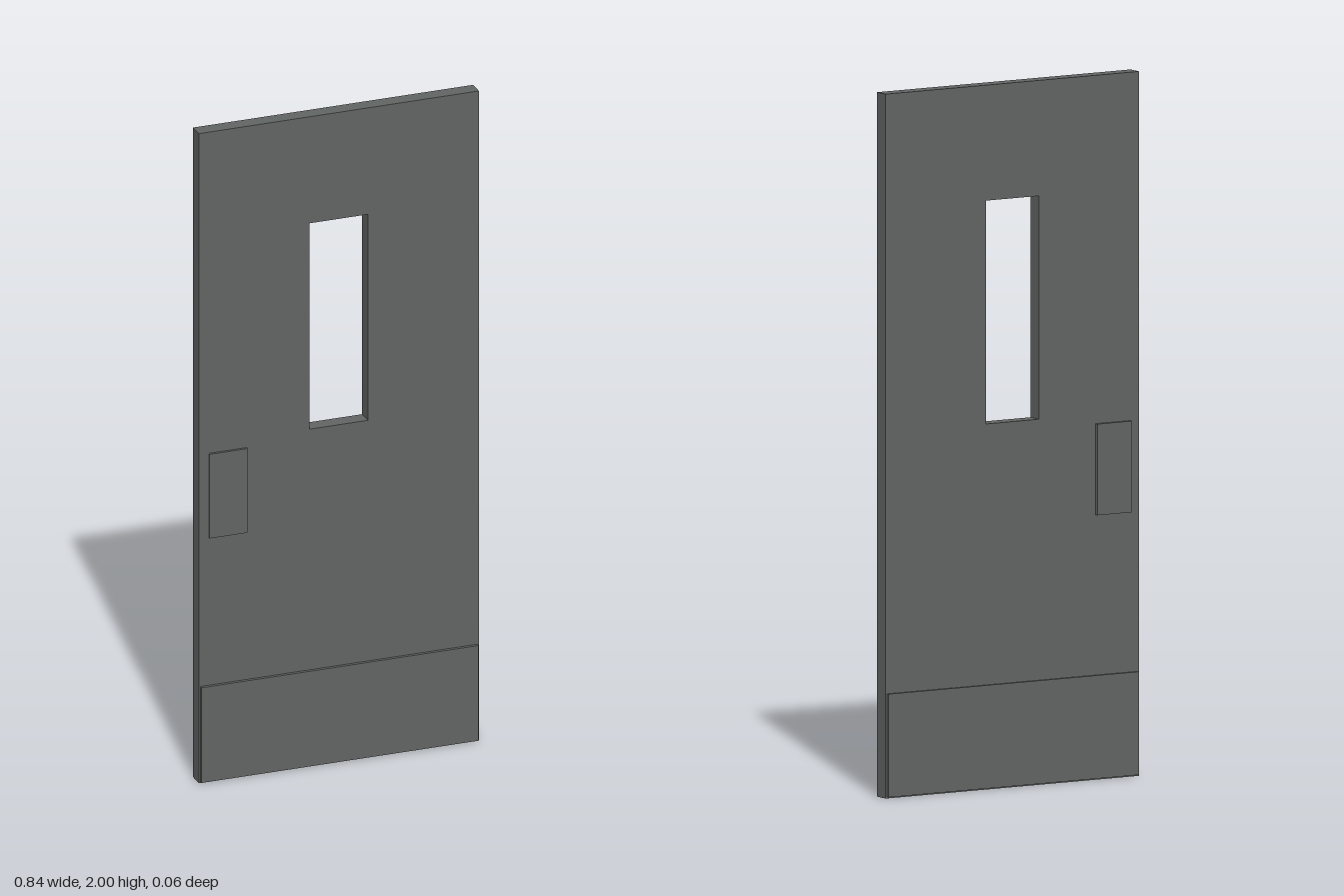
import * as THREE from 'three';

export function createModel() {
  const door = new THREE.Group();
  door.name = 'door';

  const greyPaint = new THREE.MeshStandardMaterial({ color: 0x606463 });
  greyPaint.name = 'grey paint';

  const HALF_WIDTH = 0.42, HEIGHT = 2, FRONT = 0.0215, BACK = -0.0235;

  const rectangle = (Type, x0, x1, y0, y1) => new Type([
    new THREE.Vector2(x0, y0), new THREE.Vector2(x1, y0),
    new THREE.Vector2(x1, y1), new THREE.Vector2(x0, y1),
  ]);

  // Door leaf with a narrow vision opening
  const outline = rectangle(THREE.Shape, -HALF_WIDTH, HALF_WIDTH, 0, HEIGHT);
  outline.holes.push(rectangle(THREE.Path, -0.088, 0.087, 1.038, 1.672));
  const leafGeometry = new THREE.ExtrudeGeometry(outline, { depth: FRONT - BACK, bevelEnabled: false });
  leafGeometry.translate(0, 0, BACK);
  const leaf = new THREE.Mesh(leafGeometry, greyPaint);
  leaf.name = 'doorLeaf';
  door.add(leaf);

  // Raised plate between two corners
  function addPlate(name, x0, x1, y0, y1, z0, z1) {
    const plate = new THREE.Mesh(new THREE.BoxGeometry(x1 - x0, y1 - y0, z1 - z0), greyPaint);
    plate.position.set((x0 + x1) / 2, (y0 + y1) / 2, (z0 + z1) / 2);
    plate.name = name;
    door.add(plate);
  }

  // Kick plates and push plates on both faces
  for (const [side, kickZ, pushZ] of [
    ['front', [FRONT, 0.031], [FRONT, 0.029]],
    ['back', [-0.031, BACK], [-0.034, BACK]],
  ]) {
    addPlate(side + 'KickPlate', -0.415, 0.415, 0.004, 0.297, ...kickZ);
    addPlate(side + 'PushPlate', -0.39, -0.276, 0.752, 1.011, ...pushZ);
  }

  return door;
}
